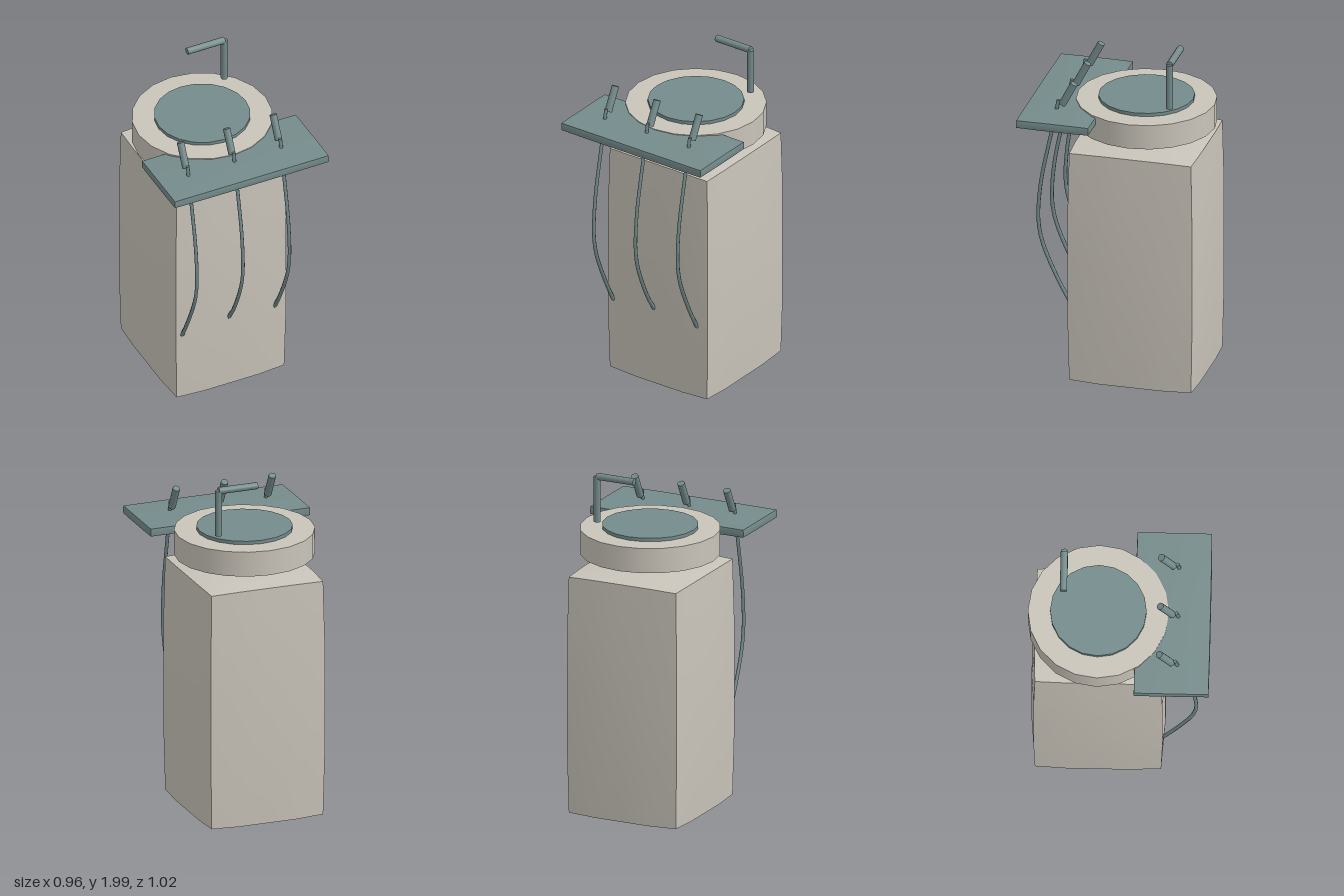
import * as THREE from 'three';

// Box whose faces and edges swell gently outward
function bulgedBox(corner, edge, face) {
  const g = new THREE.BoxGeometry(2, 2, 2, 4, 4, 4);
  const p = g.attributes.position;
  const swell = (t) => Math.min(1, 2 * (1 - Math.abs(t)));
  for (let i = 0; i < p.count; i++) {
    const t = [p.getX(i), p.getY(i), p.getZ(i)];
    const s = t.map(swell);
    const v = t.map((u, k) => {
      const a = s[(k + 1) % 3], b = s[(k + 2) % 3];
      return u * (corner[k] + edge[k] * (a + b) + (face[k] - 2 * edge[k]) * a * b);
    });
    p.setXYZ(i, ...v);
  }
  g.computeVertexNormals();
  return g;
}

// Cylinder running between two points
function rod(a, b, radius, sides = 12) {
  const dir = b.clone().sub(a);
  const g = new THREE.CylinderGeometry(radius, radius, dir.length(), sides);
  g.applyQuaternion(new THREE.Quaternion().setFromUnitVectors(
    new THREE.Vector3(0, 1, 0), dir.normalize()));
  const c = a.clone().add(b).multiplyScalar(0.5);
  return g.translate(c.x, c.y, c.z);
}

export function createModel() {
  const model = new THREE.Group();
  const beige = new THREE.MeshStandardMaterial({ color: 0xc9c4ba });
  beige.name = 'warm grey';
  const teal = new THREE.MeshStandardMaterial({ color: 0x758b8b });
  teal.name = 'grey teal';
  const V = (x, y, z) => new THREE.Vector3(x, y, z);
  const add = (name, geometry, material, parent = model) => {
    const m = new THREE.Mesh(geometry, material);
    m.name = name;
    parent.add(m);
    return m;
  };

  // Tall swollen body
  add('body', bulgedBox([0.335, 0.692, 0.353], [0.007, 0.005, 0.007], [0.024, 0.024, 0.022]), beige)
    .position.set(-0.002, 0.725, -0.115);

  // Lid ring hovering over the body, with inset disc
  add('lid', new THREE.CylinderGeometry(0.395, 0.395, 0.145, 20), beige)
    .position.set(-0.002, 1.5875, -0.12);
  add('lidDisc', new THREE.CylinderGeometry(0.27, 0.27, 0.05, 20), teal)
    .position.set(-0.002, 1.655, -0.12);

  // Cranked handle
  const handle = new THREE.Group();
  handle.name = 'handle';
  model.add(handle);
  add('handlePost', rod(V(0.232, 1.715, -0.316), V(0.232, 1.98, -0.316), 0.02), teal, handle);
  add('handleBar', rod(V(0, 1.98, -0.316), V(0.232, 1.98, -0.316), 0.02), teal, handle);

  // Front shelf
  add('shelf', bulgedBox([0.478, 0.022, 0.208], [0.001, 0.001, 0.001], [0.004, 0.007, 0.004]), teal)
    .position.set(0, 1.627, 0.297);

  // Three levers, each with a curved hose hanging to the body
  const path = [[1.71, 0.317], [1.6, 0.337], [1.4, 0.38], [1.2, 0.418], [1.0, 0.434],
    [0.9, 0.426], [0.8, 0.4], [0.6, 0.313]];
  [[-0.307, 0.47], [-0.02, 0.495], [0.27, 0.477]].forEach(([x, end]) => {
    const tap = new THREE.Group();
    tap.name = 'tap';
    model.add(tap);
    add('lever', rod(V(x, 1.685, 0.295), V(x, 1.818, 0.226), 0.021), teal, tap);
    const curve = new THREE.CatmullRomCurve3(
      [...path, [end, 0.246]].map(([y, z]) => V(x, y, z)));
    add('hose', new THREE.TubeGeometry(curve, 24, 0.011, 6), teal, tap);
    // Closed tips at both hose ends
    for (const t of [0, 1]) {
      const cap = new THREE.CircleGeometry(0.011, 6);
      const out = curve.getTangentAt(t).multiplyScalar(t ? 1 : -1);
      const m = add('hoseTip', cap, teal, tap);
      m.quaternion.setFromUnitVectors(V(0, 0, 1), out);
      m.position.copy(curve.getPointAt(t));
    }
  });
  return model;
}
